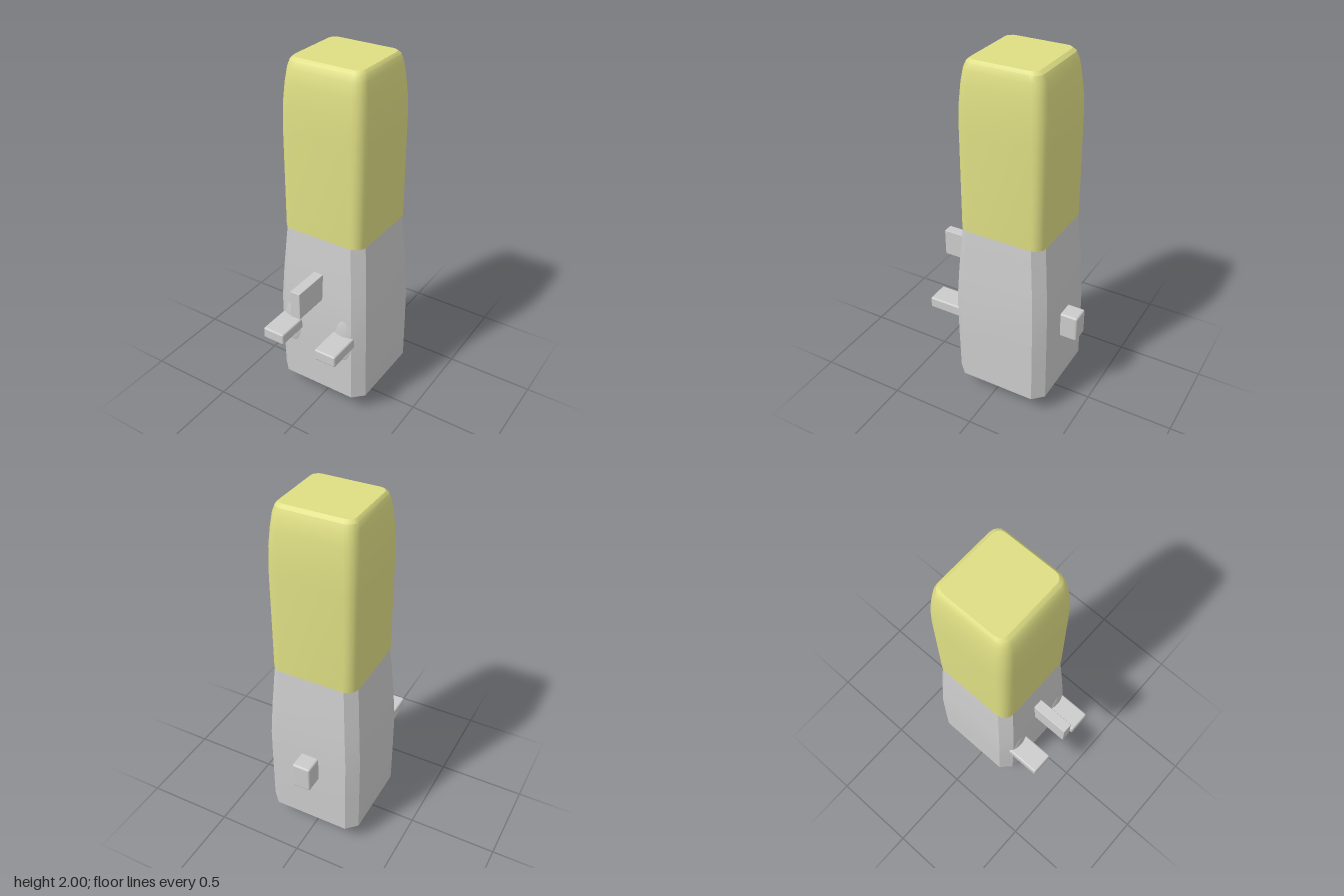
import * as THREE from 'three';
import { RoundedBoxGeometry } from 'three/addons/geometries/RoundedBoxGeometry.js';
import { toCreasedNormals } from 'three/addons/utils/BufferGeometryUtils.js';

const grey = new THREE.MeshStandardMaterial({ color: 0xcccccc });
const yellow = new THREE.MeshStandardMaterial({ color: 0xdede84 });

// Rectangle with cut corners; n segments per corner (1 = straight chamfer)
function ring([y, hx, back, front, c], n) {
  const cx = hx - c, corners = [[cx, front - c], [-cx, front - c], [-cx, back + c], [cx, back + c]];
  const pts = [];
  corners.forEach(([x, z], k) => {
    for (let i = 0; i <= n; i++) {
      const a = (k + i / n) * Math.PI / 2;
      pts.push([x + c * Math.cos(a), y, z + c * Math.sin(a)]);
    }
  });
  return pts;
}

// Skin a stack of rings [y, halfWidth, backZ, frontZ, corner], capped at both ends
function loft(sections, n, crease) {
  const m = 4 * (n + 1), pos = [], idx = [];
  sections.forEach(s => ring(s, n).forEach(p => pos.push(...p)));
  for (let j = 0; j < sections.length - 1; j++) {
    for (let i = 0; i < m; i++) {
      const a = j * m + i, b = j * m + (i + 1) % m;
      idx.push(a, a + m, b, b, a + m, b + m);
    }
  }
  const top = (sections.length - 1) * m;
  for (let i = 1; i < m - 1; i++) idx.push(0, i, i + 1, top, top + i + 1, top + i);
  const geo = new THREE.BufferGeometry();
  geo.setAttribute('position', new THREE.Float32BufferAttribute(pos, 3));
  geo.setIndex(idx);
  return toCreasedNormals(geo, crease);
}

export function createModel() {
  const group = new THREE.Group();
  const add = (name, geo, mat) => {
    const mesh = new THREE.Mesh(geo, mat);
    mesh.name = name;
    group.add(mesh);
    return mesh;
  };

  // Lower body: small foot, sloped underside, then a gentle taper upwards
  add('body', loft([
    [0, 0.15, -0.19, 0.085, 0.03],
    [0.05, 0.205, -0.225, 0.115, 0.04],
    [0.11, 0.277, -0.328, 0.226, 0.058],
    [0.35, 0.277, -0.328, 0.23, 0.058],
    [0.6, 0.276, -0.326, 0.232, 0.058],
    [0.8, 0.264, -0.316, 0.22, 0.057],
    [1.0, 0.25, -0.3, 0.203, 0.056],
    [1.08, 0.243, -0.294, 0.195, 0.055],
  ], 1, 0.6), grey);

  // Upper block with rounded shoulders
  add('head', loft([
    [1.08, 0.243, -0.294, 0.195, 0.062],
    [1.65, 0.243, -0.293, 0.193, 0.062],
    [1.78, 0.239, -0.288, 0.189, 0.062],
    [1.88, 0.23, -0.277, 0.18, 0.06],
    [1.95, 0.22, -0.265, 0.168, 0.056],
    [1.985, 0.21, -0.25, 0.153, 0.05],
    [2, 0.196, -0.23, 0.134, 0.04],
  ], 4, 0.5), yellow);

  // Projections, each given by its bounds and starting inside the body
  const peg = (name, x0, x1, y0, y1, z0, z1, r) =>
    add(name, new RoundedBoxGeometry(x1 - x0, y1 - y0, z1 - z0, 2, r), grey)
      .position.set((x0 + x1) / 2, (y0 + y1) / 2, (z0 + z1) / 2);
  peg('leftArm', 0.1, 0.23, 0.473, 0.54, 0.12, 0.411, 0.01);
  peg('rightArm', -0.236, -0.104, 0.473, 0.54, 0.12, 0.411, 0.01);
  peg('nose', -0.029, 0.029, 0.72, 0.877, 0.12, 0.428, 0.003);
  peg('tail', -0.053, 0.053, 0.427, 0.583, -0.426, -0.25, 0.012);

  // Low swellings where the projections meet the front and back
  const swell = (name, x, y, z, sx, sy, sz) => {
    const mesh = add(name, new THREE.SphereGeometry(1, 20, 12), grey);
    mesh.position.set(x, y, z);
    mesh.scale.set(sx, sy, sz);
  };
  for (const s of [1, -1]) swell(s > 0 ? 'leftArmRoot' : 'rightArmRoot', s * 0.165, 0.5, 0.215, 0.065, 0.16, 0.028);
  return group;
}
